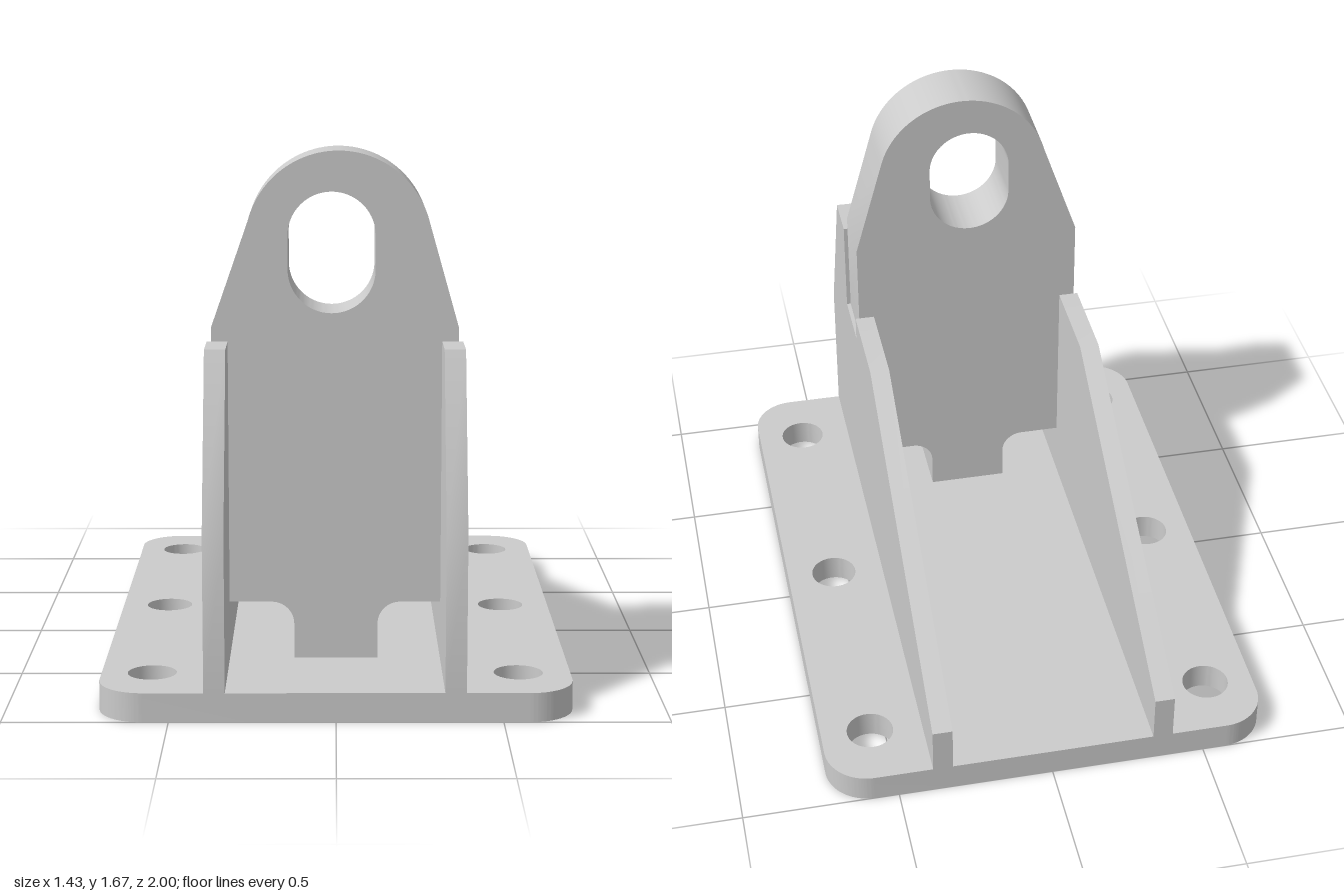
import * as THREE from 'three';
import { toCreasedNormals } from 'three/addons/utils/BufferGeometryUtils.js';

// Extrude a flat outline, smooth on curves and sharp on edges
function extrude(shape, depth) {
  const geometry = new THREE.ExtrudeGeometry(shape, { depth, bevelEnabled: false, curveSegments: 24 });
  return toCreasedNormals(geometry, Math.PI / 6);
}

export function createModel() {
  const group = new THREE.Group();
  const material = new THREE.MeshStandardMaterial({ color: 0xcccccc });
  const add = (name, geometry) => {
    const mesh = new THREE.Mesh(geometry, material);
    mesh.name = name;
    group.add(mesh);
  };

  // Base plate with rounded corners and six bolt holes
  const W = 0.717, L = 1, R = 0.14, baseHeight = 0.09;
  const base = new THREE.Shape();
  base.absarc(W - R, L - R, R, 0, Math.PI / 2);
  base.absarc(-W + R, L - R, R, Math.PI / 2, Math.PI);
  base.absarc(-W + R, -L + R, R, Math.PI, Math.PI * 1.5);
  base.absarc(W - R, -L + R, R, Math.PI * 1.5, Math.PI * 2);
  base.closePath();
  for (const x of [-0.562, 0.558]) {
    for (const z of [-0.79, -0.004, 0.787]) {
      base.holes.push(new THREE.Path().absarc(x, -z, 0.075, 0, Math.PI * 2, true));
    }
  }
  add('basePlate', extrude(base, baseHeight).rotateX(-Math.PI / 2));

  // Side walls, outlined in z and y, each notched to hold the lug
  const zBack = 0.415, zFront = 0.627, notch = 0.775, thick = 0.064;
  const wall = new THREE.Shape([
    [-1, baseHeight], [1, baseHeight], [1, 0.565], [0.785, 1.09],
    [zFront, 1.09], [zFront, notch], [zBack, notch],
    [zBack, 0.857], [0.1, 0.857], [-1, 0.245],
  ].map(([z, y]) => new THREE.Vector2(z, y)));
  const leftOuter = 0.389, rightOuter = -0.395;
  for (const [name, x] of [['leftWall', leftOuter], ['rightWall', rightOuter + thick]]) {
    add(name, extrude(wall, thick).rotateY(-Math.PI / 2).translate(x, 0, 0));
  }

  // Upright lug: narrow foot, body between the walls, shoulders in the notches, round head
  const inL = leftOuter - thick, inR = rightOuter + thick;
  const foot = 0.13, fillet = 0.07, bodyBottom = 0.27;
  const shL = 0.376, shR = -0.382, shoulderTop = 1.132;
  const lug = new THREE.Shape();
  lug.moveTo(-foot, baseHeight);
  lug.lineTo(foot, baseHeight);
  lug.absarc(foot + fillet, bodyBottom - fillet, fillet, Math.PI, Math.PI / 2, true);
  lug.lineTo(inL, bodyBottom);
  lug.lineTo(inL, notch);
  lug.lineTo(shL, notch);
  lug.lineTo(shL, shoulderTop);
  lug.absarc(0.008, 1.387, 0.285, 0.256, Math.PI - 0.256);
  lug.lineTo(shR, shoulderTop);
  lug.lineTo(shR, notch);
  lug.lineTo(inR, notch);
  lug.lineTo(inR, bodyBottom);
  lug.absarc(-foot - fillet, bodyBottom - fillet, fillet, Math.PI / 2, 0, true);
  lug.closePath();

  // Elongated eye through the head
  const eye = new THREE.Path();
  eye.absarc(-0.013, 1.414, 0.134, 0, Math.PI);
  eye.absarc(-0.013, 1.311, 0.134, Math.PI, Math.PI * 2);
  eye.closePath();
  lug.holes.push(eye);
  add('lug', extrude(lug, zFront - zBack).translate(0, 0, zBack));

  return group;
}
